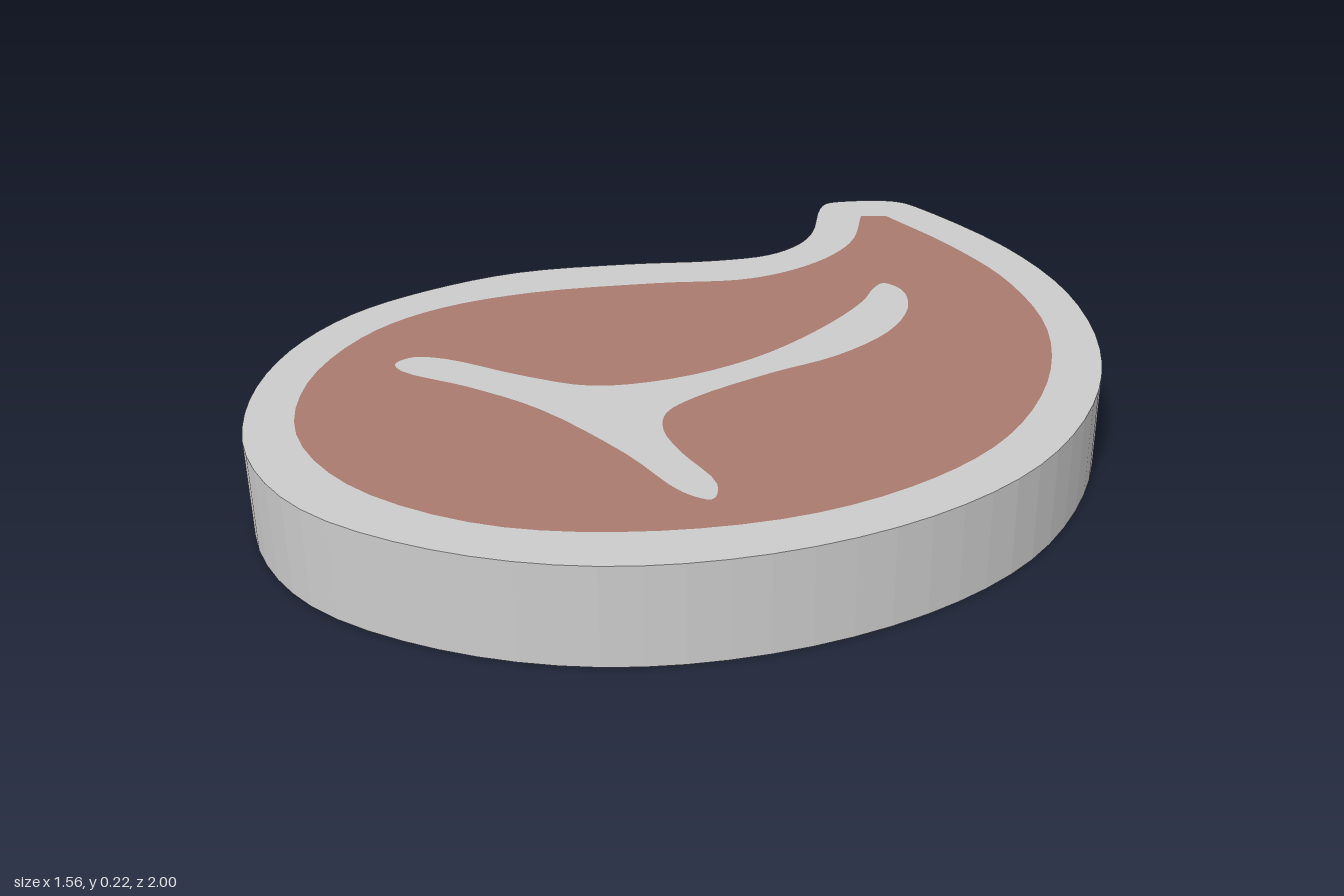
import * as THREE from 'three';

const HEIGHT = 0.215;

// Outlines as [x, z] points seen from above, running clockwise.
const RIM = [
  [-0.23, -1], [-0.18, -0.998], [0.14, -0.915], [0.4, -0.77], [0.61, -0.55], [0.73, -0.31],
  [0.78, -0.02], [0.73, 0.27], [0.585, 0.56], [0.375, 0.79], [0.11, 0.94], [-0.18, 1],
  [-0.42, 0.94], [-0.61, 0.79], [-0.735, 0.59], [-0.78, 0.38], [-0.75, 0.18], [-0.665, -0.03],
  [-0.5, -0.235], [-0.35, -0.39], [-0.275, -0.5], [-0.26, -0.595], [-0.28, -0.68],
  [-0.365, -0.825], [-0.375, -0.87], [-0.35, -0.91], [-0.275, -0.98],
];
const MEAT = [
  [-0.205, -0.895], [0.03, -0.835], [0.245, -0.745], [0.455, -0.58], [0.6, -0.35], [0.67, -0.08],
  [0.65, 0.16], [0.55, 0.415], [0.35, 0.66], [0.11, 0.825], [-0.18, 0.885], [-0.42, 0.82],
  [-0.59, 0.65], [-0.67, 0.425], [-0.655, 0.24], [-0.56, 0.04], [-0.365, -0.2], [-0.23, -0.34],
  [-0.175, -0.455], [-0.155, -0.59], [-0.175, -0.71], [-0.255, -0.855],
];
const BONE = [
  [0.04, -0.54], [0.095, -0.535], [0.165, -0.46], [0.205, -0.325], [0.19, -0.155], [0.135, 0],
  [0.085, 0.19], [0.085, 0.28], [0.13, 0.34], [0.215, 0.385], [0.35, 0.435], [0.38, 0.485],
  [0.32, 0.5], [0.14, 0.46], [-0.125, 0.435], [-0.31, 0.46], [-0.47, 0.5], [-0.51, 0.485],
  [-0.505, 0.44], [-0.445, 0.4], [-0.26, 0.35], [-0.115, 0.29], [-0.01, 0.16], [0.06, -0.025],
  [0.08, -0.235], [0.065, -0.42], [0.04, -0.5],
];

// Smooth an outline; an open one keeps its two end points as sharp corners.
function smoothOutline(points, closed) {
  const curve = new THREE.CatmullRomCurve3(
    points.map(([x, z]) => new THREE.Vector3(x, -z, 0)), closed, 'centripetal');
  const outline = curve.getPoints(points.length * 4).map((p) => new THREE.Vector2(p.x, p.y));
  if (closed) outline.pop();
  return outline;
}

// Slab standing on the ground, with an optional hole for the part set into it.
function slab(name, outline, hole, color) {
  const shape = new THREE.Shape(outline);
  if (hole) shape.holes.push(new THREE.Path(hole));
  const geometry = new THREE.ExtrudeGeometry(shape, { depth: HEIGHT, bevelEnabled: false });
  geometry.rotateX(-Math.PI / 2);
  const mesh = new THREE.Mesh(geometry, new THREE.MeshStandardMaterial({ color }));
  mesh.name = name;
  return mesh;
}

export function createModel() {
  const group = new THREE.Group();
  group.name = 'steak';

  const rim = smoothOutline(RIM, true);
  const meat = smoothOutline(MEAT, false);
  const bone = smoothOutline(BONE, true);

  group.add(
    slab('fatRim', rim, meat, 0xcccccc),
    slab('meat', meat, bone, 0xa97a6f),
    slab('bone', bone, null, 0xcccccc),
  );
  return group;
}
